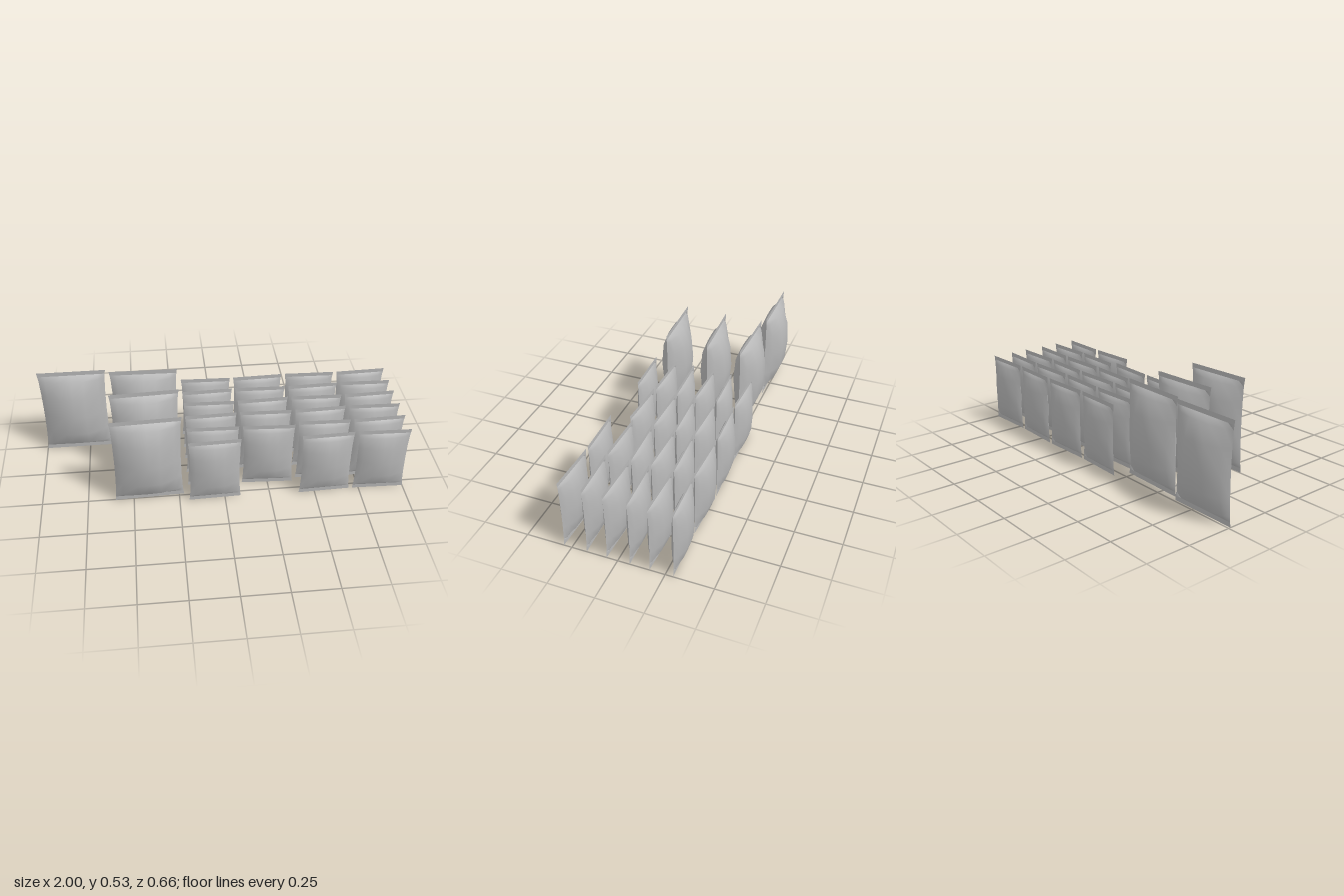
import * as THREE from 'three';

const foil = new THREE.MeshStandardMaterial({ color: 0xb8b8b8, side: THREE.DoubleSide });
foil.name = 'plainFoil';

// Puffiness across the width (position, depth) and up the height (position, depth, width)
const ACROSS = [[-1, 0], [-0.8, 0.46], [-0.35, 0.96], [0, 1], [0.35, 0.96], [0.8, 0.46], [1, 0]];
const UP = [[0, 0, 0.98], [0.055, 0.44, 0.965], [0.24, 0.86, 0.945], [0.5, 1, 0.935],
  [0.76, 0.86, 0.945], [0.945, 0.44, 0.965], [1, 0, 0.98]];

// One bulging sheet of the pouch; side is +1 for the front, -1 for the back
function panelGeometry(w, h, depth, seal, side) {
  const n = ACROSS.length;
  const pos = [], index = [];
  for (const [v, dv, wv] of UP) {
    for (const [u, du] of ACROSS) {
      pos.push(u * wv * w / 2, seal + v * (h - 2 * seal), side * depth * du * dv);
    }
  }
  for (let j = 0; j < UP.length - 1; j++) {
    for (let i = 0; i < n - 1; i++) {
      const a = j * n + i, b = a + 1, c = a + n, d = c + 1;
      if (side > 0) index.push(a, b, d, a, d, c);
      else index.push(a, d, b, a, c, d);
    }
  }
  const g = new THREE.BufferGeometry();
  g.setAttribute('position', new THREE.Float32BufferAttribute(pos, 3));
  g.setIndex(index);
  g.computeVertexNormals();
  return g;
}

// Flat crimped strip, widest at its free edge
function sealGeometry(w, seal, y, flare) {
  const g = new THREE.PlaneGeometry(w, seal);
  const p = g.attributes.position;
  for (let i = 0; i < p.count; i++) {
    if (p.getY(i) * flare < 0) p.setX(i, p.getX(i) * 0.98);
  }
  return g.translate(0, y, 0);
}

function bagParts(w, h, depth, seal) {
  return {
    frontPanel: panelGeometry(w, h, depth, seal, 1),
    backPanel: panelGeometry(w, h, depth, seal, -1),
    bottomSeal: sealGeometry(w, seal, seal / 2, -1),
    topSeal: sealGeometry(w, seal, h - seal / 2, 1),
  };
}

export function createModel() {
  const model = new THREE.Group();
  model.name = 'snackBags';
  const large = bagParts(0.38, 0.533, 0.081, 0.025);
  const small = bagParts(0.285, 0.4, 0.044, 0.023);

  function addBag(name, parts, x, z, yaw) {
    const bag = new THREE.Group();
    bag.name = name;
    for (const [part, geometry] of Object.entries(parts)) {
      const mesh = new THREE.Mesh(geometry, foil);
      mesh.name = part;
      bag.add(mesh);
    }
    bag.position.set(x, 0, z);
    bag.rotation.y = yaw;
    model.add(bag);
  }

  // Large bags: one alone, then a row of three
  [[-0.81, -0.238, 0], [-0.41, -0.21, -0.025], [-0.412, 0, 0.045], [-0.412, 0.246, 0.04]]
    .forEach(([x, z, yaw], i) => addBag(`largeBag${i + 1}`, large, x, z, yaw));

  // Small bags: four rows, the second one bag short and slightly turned at its front
  const depths = [-0.287, -0.172, -0.06, 0.055, 0.172, 0.289];
  [-0.055, 0.248, 0.553, 0.857].forEach((x, col) => {
    depths.forEach((z, row) => {
      if (col === 1 && row === 5) return;
      const turned = col === 1 && row === 4;
      const yaw = turned ? -0.05 : ((col + row) % 2 ? 0.03 : -0.03);
      addBag(`smallBag${col + 1}_${row + 1}`, small, x, turned ? 0.186 : z, yaw);
    });
  });
  return model;
}
